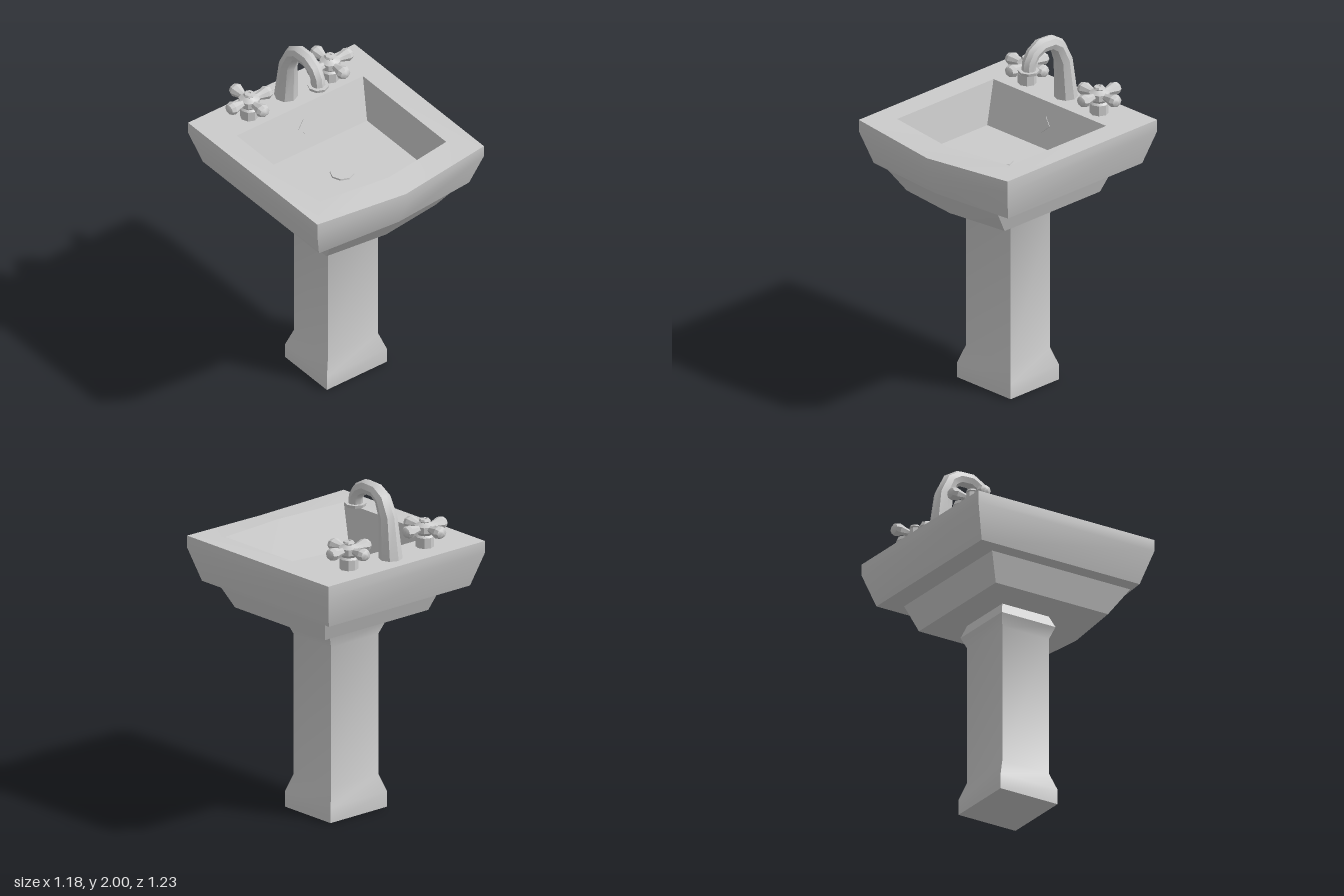
import * as THREE from 'three';
import { toCreasedNormals } from 'three/addons/utils/BufferGeometryUtils.js';

const material = new THREE.MeshStandardMaterial({ color: 0xcccccc });

function part(name, geometry, parent) {
  const mesh = new THREE.Mesh(toCreasedNormals(geometry, 0.6), material);
  mesh.name = name;
  parent.add(mesh);
  return mesh;
}

// Skin a list of rings (arrays of Vector3, counter-clockwise about the travel direction), capped at both ends.
function loft(rings) {
  const n = rings[0].length, points = [];
  for (let i = 0; i < rings.length - 1; i++) {
    for (let j = 0; j < n; j++) {
      const k = (j + 1) % n;
      const a = rings[i][j], b = rings[i][k], c = rings[i + 1][k], d = rings[i + 1][j];
      points.push(a, b, c, a, c, d);
    }
  }
  const first = rings[0], last = rings[rings.length - 1];
  for (let j = 1; j < n - 1; j++) {
    points.push(first[0], first[j + 1], first[j], last[0], last[j], last[j + 1]);
  }
  return new THREE.BufferGeometry().setFromPoints(points);
}

// Five-cornered plan with a front that comes to a shallow point.
function basinRing([y, halfWidth, back, corner, point, pointY = y]) {
  return [
    new THREE.Vector3(halfWidth, y, corner),
    new THREE.Vector3(halfWidth, y, back),
    new THREE.Vector3(-halfWidth, y, back),
    new THREE.Vector3(-halfWidth, y, corner),
    new THREE.Vector3(0, pointY, point),
  ];
}

function rectRing([y, hx, hz]) {
  const z = -0.025;
  return [[hx, hz], [hx, -hz], [-hx, -hz], [-hx, hz]].map(([x, dz]) => new THREE.Vector3(x, y, z + dz));
}

// Round tapering pipe through [z, y, radius] stations on the centre plane.
function pipe(stations, sides) {
  const at = (i) => stations[Math.min(Math.max(i, 0), stations.length - 1)];
  return loft(stations.map(([z, y, r], i) => {
    const tangent = new THREE.Vector3(0, at(i + 1)[1] - at(i - 1)[1], at(i + 1)[0] - at(i - 1)[0]).normalize();
    const u = new THREE.Vector3(1, 0, 0), v = tangent.clone().cross(u);
    return Array.from({ length: sides }, (_, j) => {
      const a = (j / sides) * Math.PI * 2;
      return new THREE.Vector3(0, y, z).addScaledVector(u, r * Math.cos(a)).addScaledVector(v, r * Math.sin(a));
    });
  }));
}

const lathe = (profile) => new THREE.LatheGeometry(profile.map(([r, y]) => new THREE.Vector2(r, y)), 8);

// Cross-shaped tap with four swelling arms.
function makeTap(name, x) {
  const tap = new THREE.Group();
  tap.name = name;
  tap.position.set(x, 0, -0.455);
  part('tapStem', lathe([[0.053, 1.575], [0.053, 1.645], [0.038, 1.66], [0.038, 1.68]]), tap);
  part('tapHub', lathe([[0, 1.655], [0.04, 1.655], [0.06, 1.675], [0.06, 1.71], [0.036, 1.722],
    [0.026, 1.728], [0.034, 1.735], [0.028, 1.746], [0.011, 1.748], [0.009, 1.742], [0, 1.742]]), tap);
  for (let i = 0; i < 4; i++) {
    const holder = new THREE.Group();
    holder.rotation.y = (i * Math.PI) / 2;
    const arm = part('tapArm', lathe([[0.024, 0.035], [0.024, 0.06], [0.032, 0.085],
      [0.043, 0.118], [0.034, 0.142], [0.014, 0.154], [0, 0.155]]), holder);
    arm.rotation.z = -Math.PI / 2;
    arm.scale.x = 0.88;
    arm.position.y = 1.695;
    tap.add(holder);
  }
  return tap;
}

export function createModel() {
  const sink = new THREE.Group();
  sink.name = 'pedestalSink';

  // Pedestal with flared foot and collar
  part('pedestal', loft([
    [0, 0.212, 0.191], [0.09, 0.212, 0.191], [0.195, 0.177, 0.156],
    [1.02, 0.177, 0.156], [1.09, 0.208, 0.18], [1.165, 0.175, 0.154],
  ].map(rectRing)), sink);

  // Two-tier basin: up the outside, over the rim, down into the bowl
  part('basin', loft([
    [1.16, 0.387, -0.365, 0.388, 0.434],
    [1.32, 0.443, -0.427, 0.5, 0.545],
    [1.32, 0.53, -0.555, 0.505, 0.55],
    [1.515, 0.588, -0.615, 0.565, 0.615, 1.475],
    [1.585, 0.588, -0.615, 0.565, 0.615, 1.555],
    [1.585, 0.445, -0.355, 0.405, 0.457, 1.575],
    [1.345, 0.405, -0.265, 0.315, 0.365],
  ].map(basinRing)), sink);

  // Drain in the bowl floor
  const drain = part('drain', new THREE.CylinderGeometry(0.068, 0.07, 0.012, 8), sink);
  drain.position.set(0, 1.348, 0.03);

  // Diamond overflow on the sloping back wall
  const overflow = part('overflow', new THREE.CylinderGeometry(0.046, 0.046, 0.008, 4), sink);
  overflow.position.set(0, 1.465, -0.31);
  overflow.rotation.x = Math.PI / 2 - Math.atan2(0.09, 0.24);

  // Gooseneck spout and its nozzle ring
  part('spout', pipe([
    [-0.482, 1.575, 0.068], [-0.46, 1.82, 0.053], [-0.415, 1.918, 0.047], [-0.36, 1.953, 0.044],
    [-0.28, 1.956, 0.044], [-0.222, 1.925, 0.042], [-0.193, 1.88, 0.041], [-0.188, 1.825, 0.041],
  ], 8), sink);
  const nozzle = part('nozzleRing', new THREE.CylinderGeometry(0.062, 0.058, 0.018, 8), sink);
  nozzle.position.set(0, 1.829, -0.188);

  sink.add(makeTap('rightTap', -0.28), makeTap('leftTap', 0.29));
  return sink;
}
